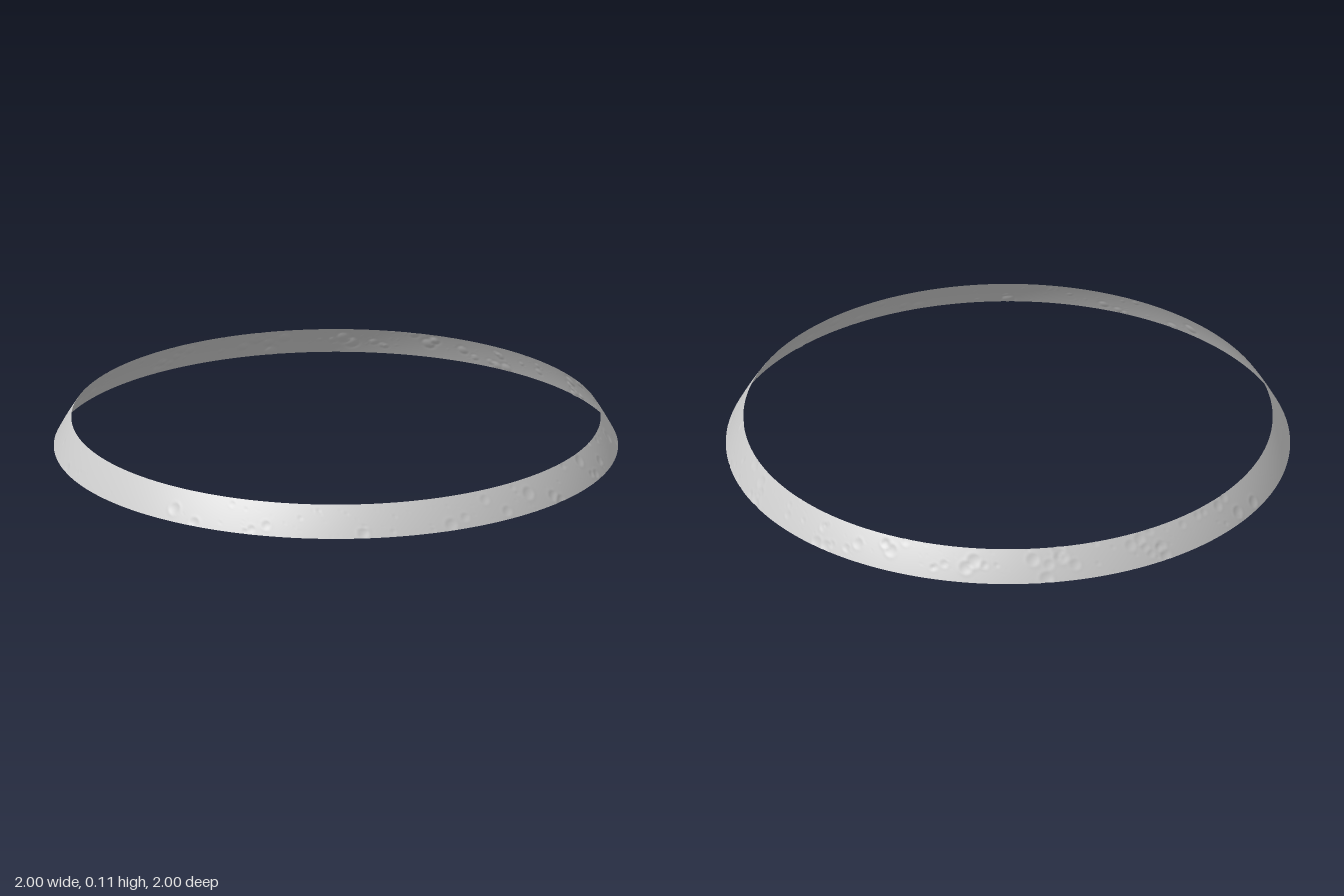
import * as THREE from 'three';
import { mergeVertices } from 'three/addons/utils/BufferGeometryUtils.js';

const HEIGHT = 0.107;
const BASE_Y = 0.508; // height of the lower rim above the centre of the sphere
const RADIUS = Math.hypot(1, BASE_Y);

// Small seeded generator
function seeded(seed) {
  return () => {
    seed = (seed * 1664525 + 1013904223) % 4294967296;
    return seed / 4294967296;
  };
}

// Craters scattered around the band, sparser on the smooth front
function makeCraters() {
  const rand = seeded(7);
  const craters = [];
  for (let i = 0; i < 420; i++) {
    const angle = (rand() * 2 - 1) * Math.PI;
    const y = rand() * HEIGHT;
    const size = 0.005 + 0.022 * Math.pow(rand(), 4);
    const smooth = angle > -1.2 && angle < 0.5;
    if (!smooth || rand() < 0.12) craters.push({ angle, y, size });
  }
  return craters;
}

// Bowl with a slightly raised rim, t = distance / crater radius
function craterHeight(t) {
  if (t < 1) return -0.1 + 0.13 * t * t;
  return 0.03 * Math.max(0, 1 - (t - 1) / 0.5);
}

export function createModel() {
  const group = new THREE.Group();

  // Band: a thin slice of a sphere's surface, open above and below
  const profile = [];
  for (let i = 0; i <= 24; i++) {
    const y = (i / 24) * HEIGHT;
    profile.push(new THREE.Vector2(Math.sqrt(RADIUS ** 2 - (BASE_Y + y) ** 2), y));
  }
  let geometry = new THREE.LatheGeometry(profile, 1000);
  geometry.deleteAttribute('uv');
  geometry.deleteAttribute('normal');
  geometry = mergeVertices(geometry, 1e-5);

  // Push the surface in and out for the craters
  const craters = makeCraters();
  const pos = geometry.attributes.position;
  for (let i = 0; i < pos.count; i++) {
    const x = pos.getX(i), y = pos.getY(i), z = pos.getZ(i);
    const r = Math.hypot(x, z);
    const angle = Math.atan2(x, z);
    let d = 0;
    for (const c of craters) {
      let da = Math.abs(angle - c.angle);
      if (da > Math.PI) da = 2 * Math.PI - da;
      if (da > c.size * 2) continue;
      const t = Math.hypot(da * r, (y - c.y) * 1.15) / c.size;
      if (t < 1.5) d += craterHeight(t) * c.size;
    }
    const k = 1 + THREE.MathUtils.clamp(d, -0.003, 0.001) / r;
    pos.setXYZ(i, x * k, y, z * k);
  }
  geometry.computeVertexNormals();

  const band = new THREE.Mesh(
    geometry,
    new THREE.MeshStandardMaterial({ color: 0xcccccc, side: THREE.DoubleSide })
  );
  band.name = 'crateredBand';
  group.add(band);
  return group;
}
